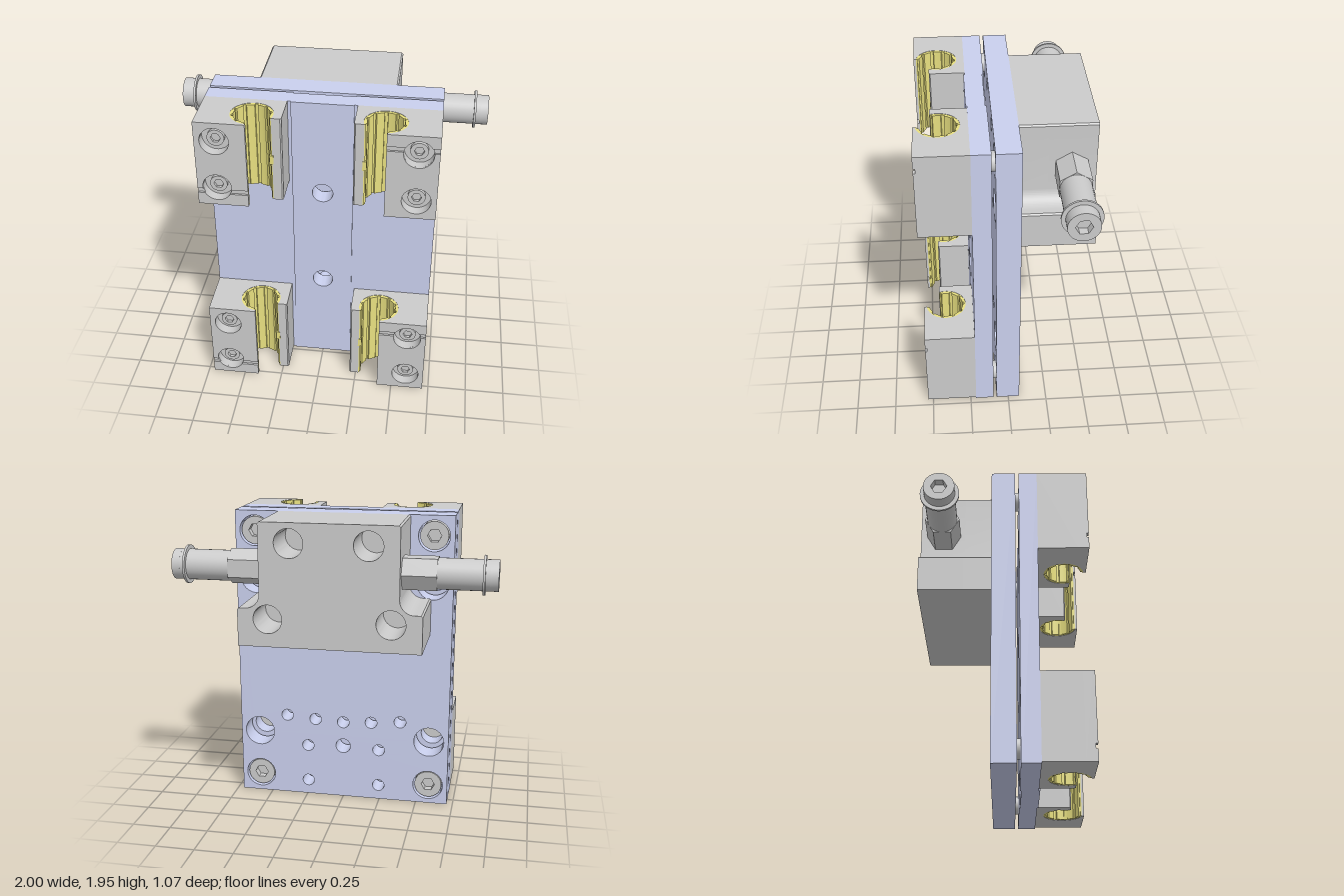
import * as THREE from 'three';
import { toCreasedNormals } from 'three/addons/utils/BufferGeometryUtils.js';

const grey = new THREE.MeshStandardMaterial({ color: 0xcccccc });
const blue = new THREE.MeshStandardMaterial({ color: 0xcad0ee });
const yellow = new THREE.MeshStandardMaterial({ color: 0xe8e080 });

function add(parent, name, geometry, material) {
  const mesh = new THREE.Mesh(geometry, material);
  mesh.name = name;
  parent.add(mesh);
  return mesh;
}

// Shape in the xy plane extruded from z0 to z1
function slab(shape, z0, z1) {
  const g = new THREE.ExtrudeGeometry(shape, { depth: z1 - z0, bevelEnabled: false, curveSegments: 24 });
  return toCreasedNormals(g.translate(0, 0, z0), 0.5);
}

// Shape drawn in (x, z), extruded along y and centred on y = 0
function column(shape, height) {
  const g = new THREE.ExtrudeGeometry(shape, { depth: height, bevelEnabled: false, curveSegments: 40 });
  return toCreasedNormals(g.rotateX(Math.PI / 2).translate(0, height / 2, 0), 0.3);
}

const poly = (pts) => new THREE.Shape(pts.map(([x, y]) => new THREE.Vector2(x, y)));
const circle = (x, y, r) => new THREE.Path().absarc(x, y, r, 0, Math.PI * 2, true);

function rect(x0, y0, x1, y1, holes = []) {
  const s = poly([[x0, y0], [x1, y0], [x1, y1], [x0, y1]]);
  holes.forEach(([x, y, r]) => s.holes.push(circle(x, y, r)));
  return s;
}

// Round end with a hexagon socket facing +z, its front at z = 0
function socketHead(name, r, depth, socket) {
  const group = new THREE.Group();
  group.name = name;
  const s = new THREE.Shape().absarc(0, 0, r, 0, Math.PI * 2, false);
  const hex = [];
  for (let i = 0; i < 6; i++) {
    const a = -i * Math.PI / 3;
    hex.push(new THREE.Vector2(Math.cos(a) * socket, Math.sin(a) * socket));
  }
  s.holes.push(new THREE.Path(hex));
  const cut = Math.min(0.05, depth * 0.6);
  add(group, name + 'Rim', slab(s, -cut, 0), grey);
  add(group, name + 'Body', new THREE.CylinderGeometry(r, r, depth - cut, 32)
    .rotateX(Math.PI / 2).translate(0, 0, -(depth + cut) / 2), grey);
  return group;
}

// Open bearing block for the -x side, with bushing
function bearingBlock() {
  const group = new THREE.Group();
  group.name = 'bearingBlock';
  const H = 0.278, cx = -0.39, cz = 0.39, R = 0.128;
  const a0 = 1.688, a1 = Math.PI * 2 + 0.345;
  const hx = -0.59, hv = 0.157, hr = 0.087, split = -0.499, floor = 0.465;

  // body around the bore
  const body = poly([[-0.71, 0.215], [-0.71, floor], [split, floor], [split, 0.52], [-0.405, 0.52]]);
  body.absarc(cx, cz, R, a0, a1, false);
  body.lineTo(-0.27, 0.436);
  body.lineTo(-0.218, 0.436);
  body.lineTo(-0.21, 0.428);
  body.lineTo(-0.21, 0.215);
  add(group, 'blockBody', column(body, 2 * H), grey);

  // counterbored front, with a narrow groove across its face
  add(group, 'blockFront', slab(rect(-0.71, -H, split, H, [[hx, hv, hr], [hx, -hv, hr]]), floor, 0.52), grey);
  const gTop = -0.17, gBottom = -0.2;
  const face = (edge, y, hole) => {
    const t = Math.asin((edge - -hv) / hr);
    const up = y > edge;
    const s = poly([[-0.405, edge], [-0.405, y], [-0.71, y], [-0.71, edge]]);
    s.absarc(hx, -hv, hr, up ? Math.PI - t : Math.PI - t, up ? t : Math.PI * 2 + t, up);
    if (hole) s.holes.push(circle(hx, hv, hr));
    return slab(s, 0.52, 0.533);
  };
  add(group, 'blockFaceUpper', face(gTop, H, true), grey);
  add(group, 'blockFaceLower', face(gBottom, -H, false), grey);

  // screws in the counterbores
  for (const v of [hv, -hv]) {
    const head = socketHead('blockScrew', 0.052, 0.03, 0.03);
    head.position.set(hx, v, floor + 0.025);
    group.add(head);
  }

  // grooved bushing
  const ring = new THREE.Shape().absarc(cx, cz, R, a0, a1, false);
  const lobes = 8, step = (a1 - a0) / lobes;
  for (let i = lobes - 1; i >= 0; i--) {
    for (const [f, r] of [[1, 0.119], [0.88, 0.119], [0.85, 0.109], [0.5, 0.109], [0.15, 0.109], [0.12, 0.119], [0, 0.119]]) {
      const a = a0 + (i + f) * step;
      ring.lineTo(cx + r * Math.cos(a), cz + r * Math.sin(a));
    }
  }
  add(group, 'bushing', column(ring, 2 * H - 0.004), yellow);
  add(group, 'bushingTab', new THREE.BoxGeometry(0.024, 0.06, 0.03).translate(-0.275, 0, 0.424), yellow);
  return group;
}

// Hose fitting pointing along +z from its base
function fitting(hexTurn) {
  const group = new THREE.Group();
  group.name = 'hoseFitting';
  add(group, 'fittingHex', new THREE.CylinderGeometry(0.11, 0.11, 0.22, 6).toNonIndexed()
    .rotateY(hexTurn).rotateX(Math.PI / 2).translate(0, 0, 0.53), grey).geometry.computeVertexNormals();
  const tip = socketHead('fittingTube', 0.095, 0.37, 0.05);
  tip.position.z = 1;
  group.add(tip);
  add(group, 'fittingCollar', new THREE.CylinderGeometry(0.12, 0.12, 0.014, 40)
    .rotateX(Math.PI / 2).translate(0, 0, 0.915), grey);
  return group;
}

export function createModel() {
  const model = new THREE.Group();
  model.name = 'slideUnit';
  const W = 0.71, T = 1.95, mid = T / 2;
  const sides = [-1, 1];

  // front plate: base with raised centre strip and rear pads
  const centreHoles = [[0, 1.32, 0.065], [0, 0.635, 0.065]];
  const access = [];
  for (const x of [-0.585, 0.585]) for (const y of [0.44, 1.51]) access.push([x, y, 0.075]);
  add(model, 'frontPlate', slab(rect(-W, 0, W, T, [...centreHoles, ...access]), 0.107, 0.215), blue);
  add(model, 'frontStrip', slab(rect(-0.19, 0, 0.19, T, centreHoles), 0.215, 0.223), blue);
  for (const s of sides) {
    const pad = rect(Math.min(s * 0.19, s * W), 0, Math.max(s * 0.19, s * W), T,
      access.filter(([x]) => x * s > 0));
    add(model, 'rearPad', slab(pad, 0.099, 0.107), blue);
  }

  // back plate with its hole pattern repeated top and bottom
  const pattern = [[0, 0.54, 0.04], [0, 0.37, 0.05]];
  for (const s of sides) {
    pattern.push([s * 0.385, 0.567, 0.04], [s * 0.19, 0.55, 0.04], [s * 0.243, 0.356, 0.04],
      [s * 0.243, 0.1, 0.04], [s * 0.58, 0.44, 0.1], [s * 0.58, 0.13, 0.1]);
  }
  const backHoles = pattern.flatMap(([x, y, r]) => [[x, y, r], [x, 2 * mid - y, r]]);
  add(model, 'backPlate', slab(rect(-W, 0, W, T, backHoles), -0.073, 0.077), blue);

  // corner screws and spacers joining the plates
  for (const x of [-0.58, 0.58]) for (const y of [0.13, 1.82]) {
    const head = socketHead('cornerScrew', 0.09, 0.12, 0.045);
    head.rotation.y = Math.PI;
    head.position.set(x, y, -0.06);
    model.add(head);
    add(model, 'spacer', new THREE.CylinderGeometry(0.06, 0.06, 0.06, 32)
      .rotateX(Math.PI / 2).translate(x, y, 0.08), grey);
  }

  // four bearing blocks, the +x pair turned half round
  for (const s of sides) for (const y of [0.287, 1.672]) {
    const block = bearingBlock();
    block.position.y = y;
    if (s > 0) block.rotation.z = Math.PI;
    model.add(block);
  }

  // rear body with a wide foot, fillets and counterbores
  const outline = (holes) => {
    const s = new THREE.Shape();
    s.moveTo(-0.57, 1.18);
    s.lineTo(0.57, 1.18);
    s.lineTo(0.57, 1.41);
    s.lineTo(0.56, 1.42);
    s.absarc(0.52, 1.51, 0.09, Math.PI * 1.5, Math.PI, true);
    s.lineTo(0.43, 1.94);
    s.lineTo(0.42, T);
    s.lineTo(-0.42, T);
    s.lineTo(-0.43, 1.94);
    s.absarc(-0.52, 1.51, 0.09, 0, -Math.PI / 2, true);
    s.lineTo(-0.56, 1.42);
    s.lineTo(-0.57, 1.41);
    holes.forEach(([x, y, r]) => s.holes.push(circle(x, y, r)));
    return s;
  };
  const bores = sides.flatMap((s) => [[s * 0.242, 1.825, 0.09], [s * 0.38, 1.355, 0.09]]);
  add(model, 'rearBody', slab(outline([]), -0.25, -0.073), grey);
  add(model, 'rearBodyBored', slab(outline(bores), -0.537, -0.25), grey);

  // hose fittings on both sides of the rear body
  for (const s of sides) {
    const f = fitting(s > 0 ? 0 : Math.PI / 6);
    f.rotation.y = s * Math.PI / 2;
    f.position.set(0, 1.65, -0.387);
    model.add(f);
  }
  return model;
}
